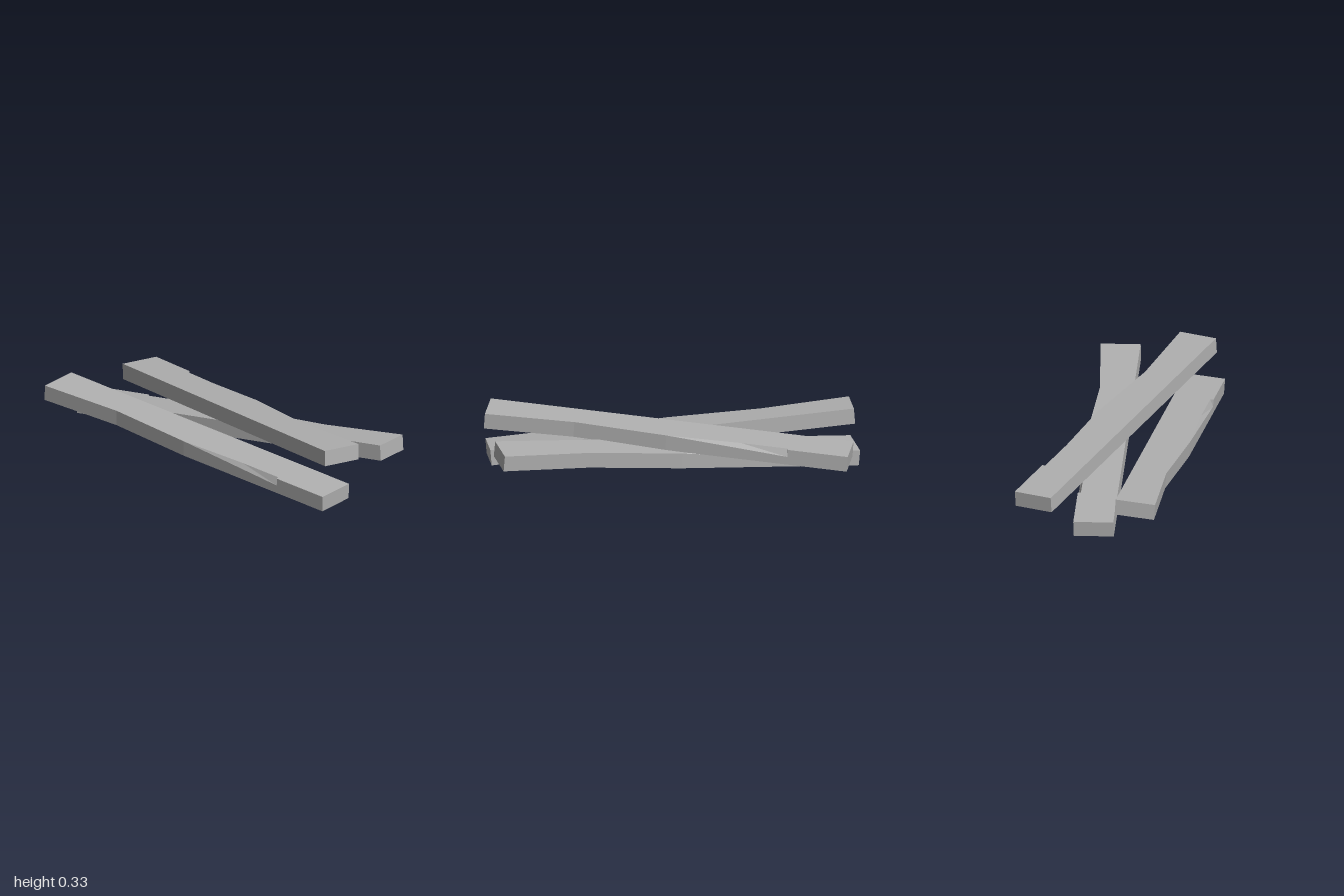
import * as THREE from 'three';

const HALF_W = 0.107, HALF_T = 0.0425;

// Cross-sections along the plank: [position, dent of the whole edge, chip inset at the top, chip lower line]
const STATIONS = [
  [-0.978, 0, 0, 0.02],
  [-0.5, 0.032, 0, 0.03],
  [0, 0, 0, 0.04],
  [0.4, 0, 0.018, 0.018],
  [0.65, 0, 0.017, 0.002],
  [0.656, 0, 0, 0.002],
  [0.978, 0, 0, 0.002],
];

// Plank with one straight edge and one worn edge
function plankGeometry() {
  const pos = [], idx = [], N = 5;
  for (const [z, dent, chip, midY] of STATIONS) {
    const edge = -HALF_W + dent;
    pos.push(
      edge, -HALF_T, z,
      HALF_W, -HALF_T, z,
      HALF_W, HALF_T, z,
      edge + chip, HALF_T, z,
      edge, midY, z);
  }
  const last = STATIONS.length - 1;
  for (let i = 0; i < last; i++) {
    for (let k = 0; k < N; k++) {
      const a = i * N + k, b = i * N + (k + 1) % N;
      idx.push(a, b, b + N, a, b + N, a + N);
    }
  }
  // End caps
  for (let k = 1; k < N - 1; k++) {
    idx.push(0, k + 1, k);
    idx.push(last * N, last * N + k, last * N + k + 1);
  }
  const g = new THREE.BufferGeometry();
  g.setAttribute('position', new THREE.Float32BufferAttribute(pos, 3));
  g.setIndex(idx);
  const flat = g.toNonIndexed();
  flat.computeVertexNormals();
  return flat;
}

// Each plank: centres of its two ends and the direction from worn edge to straight edge
const PLANKS = [
  { name: 'leftPlank', from: [-0.3075, 0.191, -0.977], to: [-0.144, 0.0515, 0.967], across: [0.215, 0.013, -0.015] },
  { name: 'topPlank', from: [-0.1065, 0.2855, 0.975], to: [0.265, 0.149, -0.94], across: [-0.213, 0.006, -0.04] },
  { name: 'crossingPlank', from: [0.31, 0.202, 0.93], to: [-0.08, 0.05, -0.98], across: [-0.213, 0.006, 0.04] },
];

export function createModel() {
  const group = new THREE.Group();
  group.name = 'plankPile';
  const grey = new THREE.MeshStandardMaterial({ color: 0xb0b0b0 });
  grey.name = 'plain grey';
  const geometry = plankGeometry();

  for (const p of PLANKS) {
    const from = new THREE.Vector3(...p.from), to = new THREE.Vector3(...p.to);
    const z = to.clone().sub(from).normalize();
    const y = new THREE.Vector3().crossVectors(z, new THREE.Vector3(...p.across)).normalize();
    const x = new THREE.Vector3().crossVectors(y, z);
    const mesh = new THREE.Mesh(geometry, grey);
    mesh.name = p.name;
    mesh.quaternion.setFromRotationMatrix(new THREE.Matrix4().makeBasis(x, y, z));
    mesh.position.copy(from).add(to).multiplyScalar(0.5);
    group.add(mesh);
  }
  return group;
}
